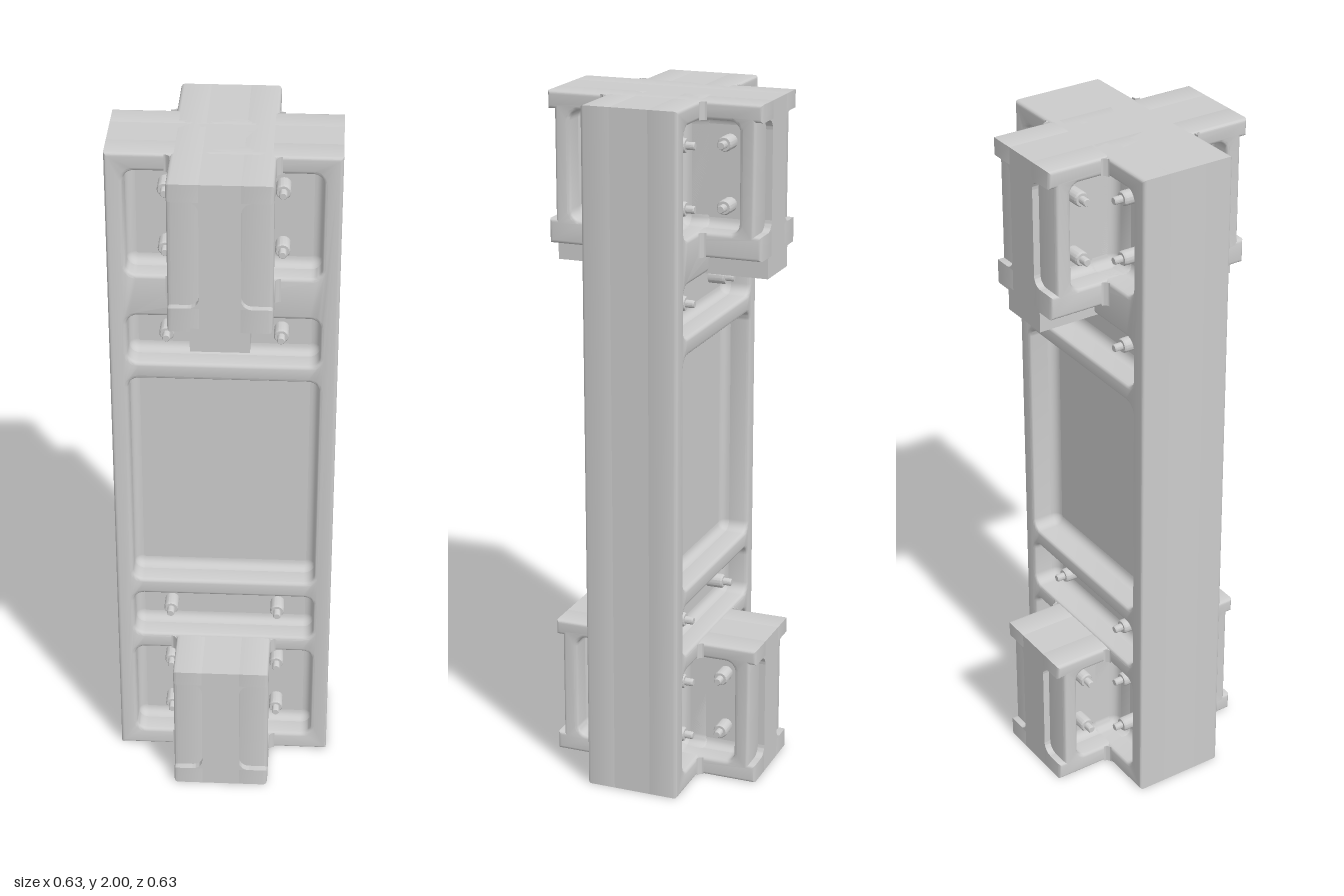
import * as THREE from 'three';
import { toCreasedNormals } from 'three/addons/utils/BufferGeometryUtils.js';

const WEB = 0.055, FACE = 0.14, REACH = 0.315, BEVEL = 0.01;
const TOP = { y0: 1.57, y1: 2, p0: 1.64, p1: 1.95 };
const BASE = { y0: 0, y1: 0.42, p0: 0.055, p1: 0.375 };

export function createModel() {
  const model = new THREE.Group();
  model.name = 'crossColumn';
  const mat = new THREE.MeshStandardMaterial({ color: 0xcccccc, side: THREE.DoubleSide });

  const add = (parent, geo, name, x = 0, y = 0, z = 0) => {
    const mesh = new THREE.Mesh(geo, mat);
    mesh.name = name;
    mesh.position.set(x, y, z);
    parent.add(mesh);
    return mesh;
  };
  const box = (name, w, y0, y1, d) =>
    add(model, new THREE.BoxGeometry(w, y1 - y0, d), name, 0, (y0 + y1) / 2, 0);

  // Points of a rounded rectangle, counter-clockwise
  const roundRect = ([x0, x1, y0, y1], r, inset = 0) => {
    const pts = [], rr = Math.max(r - inset, 0.004);
    const centres = [[x1, y1, -1, -1], [x0, y1, 1, -1], [x0, y0, 1, 1], [x1, y0, -1, 1]];
    centres.forEach(([x, y, sx, sy], q) => {
      for (let i = 0; i <= 6; i++) {
        const a = (q + i / 6) * Math.PI / 2;
        pts.push(new THREE.Vector2(x + sx * (inset + rr) + rr * Math.cos(a), y + sy * (inset + rr) + rr * Math.sin(a)));
      }
    });
    return pts;
  };

  // Bevelled plate with pocket openings, standing on the web
  const plate = (parent, name, outline, pockets) => {
    const shape = new THREE.Shape(outline.map(([x, y]) => new THREE.Vector2(x, y)));
    for (const p of pockets) shape.holes.push(new THREE.Path(roundRect(p, 0.03)));
    const geo = new THREE.ExtrudeGeometry(shape, {
      depth: FACE - WEB - BEVEL, bevelThickness: BEVEL, bevelSize: BEVEL, bevelOffset: -BEVEL, bevelSegments: 3,
    });
    add(parent, toCreasedNormals(geo, 0.65), name, 0, 0, WEB);
  };

  // Quarter-round cove where a pocket wall meets its floor
  const cove = (parent, pocket) => {
    const R = 0.025, steps = 5, pos = [], idx = [];
    let n = 0;
    for (let s = 0; s <= steps; s++) {
      const a = (s / steps) * Math.PI / 2;
      const loop = roundRect(pocket, 0.03, R * (1 - Math.cos(a)));
      n = loop.length;
      for (const p of loop) pos.push(p.x, p.y, WEB + 0.0005 + R * (1 - Math.sin(a)));
    }
    for (let s = 0; s < steps; s++) for (let i = 0; i < n; i++) {
      const a = s * n + i, b = s * n + (i + 1) % n;
      idx.push(a, a + n, b, b, a + n, b + n);
    }
    const geo = new THREE.BufferGeometry();
    geo.setAttribute('position', new THREE.Float32BufferAttribute(pos, 3));
    geo.setIndex(idx);
    geo.computeVertexNormals();
    add(parent, geo, 'pocketCove');
  };

  // Stepped screw standing on a pocket floor
  const screwGeo = toCreasedNormals(new THREE.LatheGeometry(
    [[0.021, 0], [0.021, 0.045], [0.018, 0.05], [0.011, 0.05], [0.011, 0.072], [0.009, 0.075], [0, 0.075]]
      .map(([r, y]) => new THREE.Vector2(r, y)), 16).rotateX(Math.PI / 2), 0.6);
  const screw = (parent, x, y) => add(parent, screwGeo, 'screw', x, y, WEB);

  // Concave filler for an inside corner
  const filler = (r, length) => {
    const s = new THREE.Shape();
    s.moveTo(0, 0);
    s.lineTo(r, 0);
    s.absarc(r, r, r, -Math.PI / 2, -Math.PI, true);
    return toCreasedNormals(new THREE.ExtrudeGeometry(s, { depth: length, bevelEnabled: false, curveSegments: 6 }), 0.6);
  };

  // Central webs of the column and of the two cross arms
  box('columnWeb', REACH * 2, 0, 2, WEB * 2);
  box('topArmWeb', WEB * 2, 1.51, 2, REACH * 2);
  box('baseArmWeb', WEB * 2, 0, 0.42, REACH * 2);
  box('topArmTongue', 0.16, 1.51, 1.58, REACH * 2);

  for (let k = 0; k < 4; k++) {
    const side = new THREE.Group();
    side.rotation.y = k * Math.PI / 2;
    side.name = k % 2 ? 'armSide' : 'columnSide';
    model.add(side);
    const outer = k % 2 ? 0.25 : 0.265;
    const cornerPockets = ({ p0, p1 }) => [[WEB, outer, p0, p1], [-outer, -WEB, p0, p1]];

    if (k % 2 === 0) {
      // Front and back of the column
      const pockets = [[-0.265, 0.265, 0.625, 1.315], [-0.265, 0.265, 1.365, 1.515], [-0.265, 0.265, 0.425, 0.575],
        ...cornerPockets(TOP), ...cornerPockets(BASE)];
      plate(side, 'columnFace', [[-REACH, 0], [REACH, 0], [REACH, 2], [-REACH, 2]], pockets);
      pockets.forEach(p => cove(side, p));
      for (const x of [-0.158, 0.158])
        for (const y of [1.88, 1.705, 1.44, 0.495, 0.3, 0.13]) screw(side, x, y);
      // Rounded corners of the shallow recesses on the arm ends
      for (const { p0, p1 } of [TOP, BASE])
        [[WEB, p0, 0], [-WEB, p0, 1], [-WEB, p1, 2], [WEB, p1, 3]].forEach(([x, y, q]) => {
          add(side, filler(0.03, 0.02), 'recessCorner', x, y, 0.295).rotation.z = q * Math.PI / 2;
        });
    } else {
      // Flanks of the arms, notched at the ends
      for (const arm of [TOP, BASE]) {
        const { y0, y1, p0, p1 } = arm, e = 0.295;
        plate(side, 'armFlank', [[-REACH, y0], [REACH, y0], [REACH, p0], [e, p0], [e, p1], [REACH, p1], [REACH, y1],
          [-REACH, y1], [-REACH, p1], [-e, p1], [-e, p0], [-REACH, p0]], cornerPockets(arm));
        cornerPockets(arm).forEach(p => cove(side, p));
      }
      for (const x of [-0.193, 0.193])
        for (const y of [1.88, 1.705, 0.3, 0.13]) screw(side, x, y);
    }

    // Coves between arm and column, above and below the pockets
    for (const { y0, y1, p0, p1 } of [TOP, BASE])
      for (const [a, b] of [[y0, p0], [p1, y1]])
        add(side, filler(0.016, b - a).rotateX(-Math.PI / 2), 'junctionCove', FACE, a, -FACE);
  }
  return model;
}
